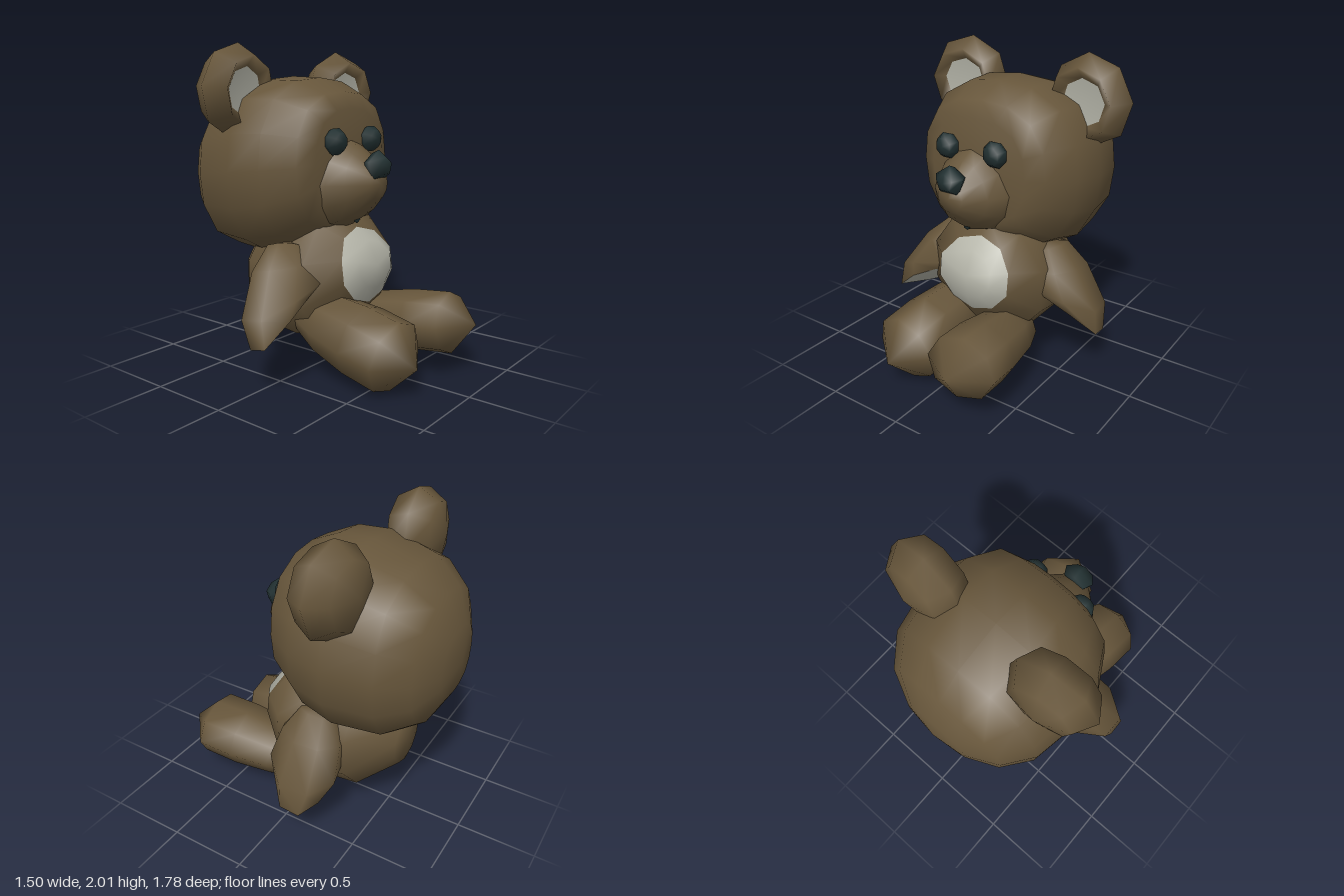
import * as THREE from 'three';
import { mergeVertices } from 'three/addons/utils/BufferGeometryUtils.js';

const V = (x, y, z) => new THREE.Vector3(x, y, z);
const UP = V(0, 1, 0);
const FRONT = V(0, 0, 1);

export function createModel() {
  const model = new THREE.Group();
  model.name = 'teddyBear';

  const material = (name, color) => {
    const m = new THREE.MeshStandardMaterial({ color });
    m.name = name;
    return m;
  };
  const fur = material('brownFur', 0x67563b);
  const pad = material('paleGreyPad', 0xb4b4a8);
  const dark = material('darkButton', 0x223132);

  // Rounded form: a [radius, distance] profile spun around an axis, then bent by a rule
  function spun(name, mat, profile, sides, { at, axis = FRONT, scale = [1, 1, 1], turn = 0, bend }) {
    const points = profile.map(([r, d]) => new THREE.Vector2(r, d));
    let geo = new THREE.LatheGeometry(points, sides, turn);
    geo.deleteAttribute('uv');
    geo.deleteAttribute('normal');
    const q = new THREE.Quaternion().setFromUnitVectors(UP, axis.clone().normalize());
    geo.scale(...scale).applyQuaternion(q).translate(at.x, at.y, at.z);
    if (bend) {
      const pos = geo.attributes.position;
      const v = V(0, 0, 0);
      for (let i = 0; i < pos.count; i++) {
        bend(v.fromBufferAttribute(pos, i));
        pos.setXYZ(i, v.x, v.y, v.z);
      }
    }
    geo = mergeVertices(geo, 1e-4);
    geo.computeVertexNormals();
    const mesh = new THREE.Mesh(geo, mat);
    mesh.name = name;
    model.add(mesh);
  }

  // Head: slightly squared outline, gently domed face, round back that sits a little lower
  const head = V(-0.02, 1.24, 0);
  spun('head', fur,
    [[0, -0.89], [0.22, -0.86], [0.41, -0.77], [0.54, -0.6], [0.595, -0.3], [0.56, -0.08],
      [0.45, 0.11], [0.34, 0.165], [0, 0.2]], 16, {
      at: head,
      scale: [1, 1, 0.95],
      bend: (v) => {
        const dx = v.x - head.x, dy = v.y - head.y;
        const fuller = 1 + 0.07 * Math.sin(2 * Math.atan2(dy, dx)) ** 2;
        v.x = head.x + dx * fuller;
        v.y = head.y + dy * fuller + 0.1 * (v.z + 0.3);
      },
    });

  // Muzzle: blunt cone whose narrow upper side fades into the face
  spun('muzzle', fur, [[0.3, 0.09], [0.262, 0.2], [0.2, 0.29], [0.09, 0.395], [0, 0.41]], 12, {
    at: V(-0.05, 1.17, 0),
    bend: (v) => {
      const rise = Math.max(0, v.y - 1.2);
      v.x = -0.05 + (v.x + 0.05) * (1 - 1.1 * rise);
      if (v.z < 0.3) v.z -= 0.15 * rise;
    },
  });

  // Nose, mouth and eyes
  spun('nose', dark, [[0, -0.07], [0.08, -0.05], [0.106, 0], [0.06, 0.055], [0, 0.065]], 5,
    { at: V(-0.05, 1.277, 0.39), scale: [1, 1, 0.9], turn: Math.PI });
  spun('mouth', dark, [[0, -0.03], [0.028, 0], [0, 0.025]], 6, { at: V(-0.05, 0.943, 0.235) });
  for (const [name, x] of [['rightEye', -0.215], ['leftEye', 0.135]]) {
    spun(name, dark, [[0, -0.06], [0.06, -0.04], [0.084, 0.01], [0.055, 0.055], [0, 0.065]], 8,
      { at: V(x, 1.42, 0.19), turn: Math.PI / 8 });
  }

  // Ears: rounded backs, dished fronts with pale centres
  for (const [side, at, axis] of [
    ['right', V(-0.465, 1.715, -0.38), V(0.1, -0.05, 1)],
    ['left', V(0.465, 1.69, -0.33), V(-0.07, -0.04, 1)],
  ]) {
    spun(side + 'Ear', fur,
      [[0, -0.17], [0.2, -0.12], [0.285, 0], [0.215, 0.135], [0.147, 0.085]], 8, { at, axis });
    spun(side + 'EarCentre', pad, [[0.147, 0.085], [0, 0.07]], 8, { at, axis });
  }

  // Body narrowing underneath, with a raised belly panel that leans back under the chin
  const shapeTrunk = (v) => {
    v.x *= 1 - 0.6 * Math.max(0, 0.4 - v.y);
    if (v.z > 0) v.y += 0.32 * v.z;
    if (v.z > 0.2) {
      v.x += 0.02;
      v.y = 0.645 + (v.y - 0.625) * 0.86;
      v.z -= 0.5 * Math.max(0, v.y - 0.68);
    }
  };
  const trunk = { at: V(0, 0.535, 0), bend: shapeTrunk };
  spun('body', fur,
    [[0, -0.61], [0.17, -0.595], [0.405, -0.36], [0.43, -0.12], [0.435, 0.1], [0.27, 0.28]], 10, trunk);
  spun('belly', pad, [[0.27, 0.28], [0.17, 0.335], [0, 0.345]], 10, trunk);

  // Arms: swelling from the shoulder to a slanted pale paw pad that folds up at the front
  for (const [side, s, shoulderZ, paw] of [
    ['right', -1, -0.1, V(-0.53, 0.36, 0.04)],
    ['left', 1, -0.15, V(0.51, 0.35, -0.13)],
  ]) {
    const at = V(s * 0.3, 0.8, shoulderZ);
    const axis = paw.sub(at).normalize();
    const normal = V(-s * 0.35, -0.85, 0.05).normalize();
    const length = 0.53;
    const tilt = (v) => {
      const offset = v.clone().sub(at);
      const t = offset.dot(axis);
      offset.addScaledVector(axis, -t);
      const slide = -offset.dot(normal) / axis.dot(normal);
      const fold = Math.max(0, offset.z) * (t / length) ** 3;
      v.addScaledVector(axis, slide * t / length - fold);
    };
    const options = { at, axis, scale: [1, 1, 1.22], turn: Math.PI / 2, bend: tilt };
    spun(side + 'Arm', fur,
      [[0, 0], [0.11, 0.04], [0.175, 0.17], [0.2, 0.37], [0.14, length]], 8, options);
    spun(side + 'PawPad', pad, [[0.14, length], [0, length]], 8, options);
  }

  // Legs: stretched forward with pointed feet, dark caps at the hip ends
  for (const [side, hip, toe, height] of [
    ['right', V(-0.18, 0.34, -0.05), V(-0.24, 0.18, 0.78), 0.98],
    ['left', V(0.2, 0.24, 0.03), V(0.28, 0.32, 0.89), 0.84],
  ]) {
    const options = { at: hip, axis: toe.clone().sub(hip), scale: [1, 1, height] };
    spun(side + 'Leg', fur,
      [[0.08, 0], [0.14, 0.01], [0.2, 0.2], [0.23, 0.46], [0.228, 0.7], [0, 0.865]], 8, options);
    spun(side + 'HipCap', dark, [[0, 0], [0.08, 0]], 8, options);
  }

  return model;
}
